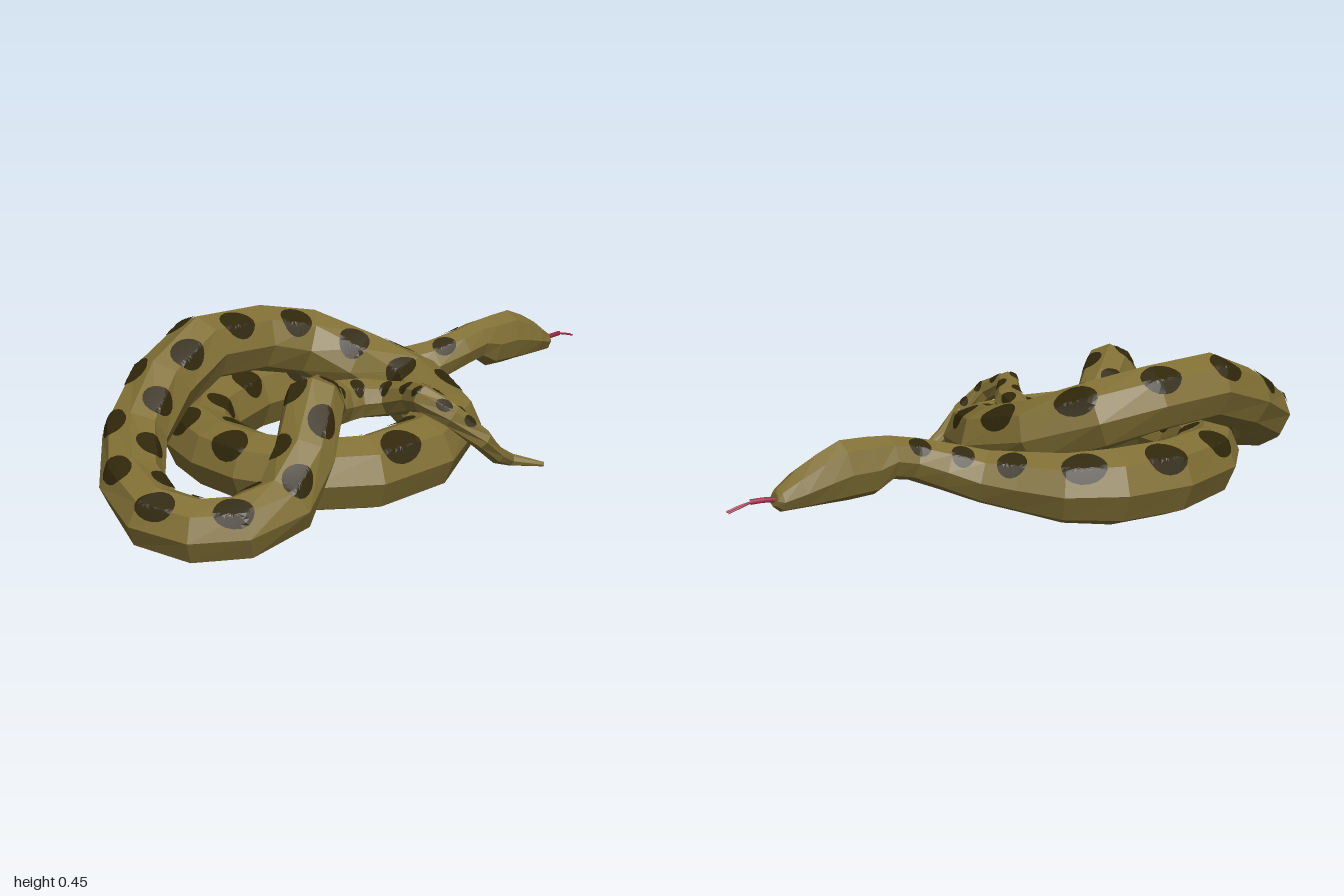
import * as THREE from 'three';

const SIDES = 8;
const material = (name, color) => {
  const m = new THREE.MeshStandardMaterial({ color });
  m.name = name;
  return m;
};

// Cross-sections from snout to tail tip: x, y, z, half width, half height
const HEAD = [
  [0.865, 0.172, -0.095, 0.024, 0.02],
  [0.85, 0.169, -0.095, 0.037, 0.034],
  [0.79, 0.187, -0.095, 0.053, 0.054],
  [0.72, 0.206, -0.095, 0.06, 0.073],
  [0.66, 0.22, -0.095, 0.063, 0.086],
  [0.58, 0.221, -0.095, 0.063, 0.083],
  [0.52, 0.236, -0.097, 0.058, 0.062],
];
const COILS = [
  [0.45, 0.222, -0.1, 0.06],
  [0.36, 0.193, -0.128, 0.068],
  [0.27, 0.163, -0.182, 0.077],
  [0.19, 0.152, -0.258, 0.088],
  [0.11, 0.143, -0.345, 0.1],
  [-0.02, 0.138, -0.392, 0.11],
  [-0.2, 0.136, -0.392, 0.11],
  [-0.4, 0.132, -0.315, 0.105],
  [-0.51, 0.128, -0.2, 0.103],
  [-0.545, 0.127, -0.06, 0.1],
  [-0.54, 0.127, 0.08, 0.1],
  [-0.475, 0.128, 0.23, 0.102],
  [-0.345, 0.13, 0.325, 0.105],
  [-0.15, 0.135, 0.33, 0.105],
  [0.035, 0.152, 0.24, 0.105],
  [0.11, 0.195, 0.03, 0.105],
  [0.06, 0.245, -0.14, 0.104],
  [-0.055, 0.31, -0.265, 0.103],
  [-0.21, 0.345, -0.305, 0.1],
  [-0.42, 0.357, -0.3, 0.1],
  [-0.6, 0.29, -0.255, 0.095],
  [-0.76, 0.205, -0.165, 0.09],
  [-0.875, 0.14, -0.02, 0.087],
  [-0.915, 0.102, 0.13, 0.087],
  [-0.87, 0.088, 0.25, 0.087],
];
const TAIL = [
  [-0.785, 0.097, 0.325, 0.087],
  [-0.66, 0.13, 0.345, 0.086],
  [-0.55, 0.215, 0.295, 0.084],
  [-0.44, 0.314, 0.21, 0.082],
  [-0.35, 0.28, 0.12, 0.075],
  [-0.27, 0.232, 0.055, 0.071],
  [-0.19, 0.22, 0.032, 0.066],
  [-0.115, 0.22, 0.05, 0.06],
  [-0.065, 0.225, 0.12, 0.052],
  [-0.075, 0.255, 0.23, 0.045],
  [-0.13, 0.285, 0.32, 0.038],
  [-0.105, 0.25, 0.405, 0.034],
  [-0.04, 0.18, 0.455, 0.03],
  [0.03, 0.115, 0.447, 0.025],
  [0.1, 0.08, 0.437, 0.018],
  [0.18, 0.06, 0.492, 0.007],
];

// Turn the cross-sections into rings of points around the spine
function makeRings(sections) {
  const centres = sections.map(([x, y, z]) => new THREE.Vector3(x, y, z));
  const worldUp = new THREE.Vector3(0, 1, 0);
  return sections.map(([, , , w, h = w], i) => {
    const c = centres[i];
    const dir = (a, b) => centres[b].clone().sub(centres[a]).normalize();
    const t = new THREE.Vector3();
    if (i > 0) t.add(dir(i - 1, i));
    if (i < centres.length - 1) t.add(dir(i, i + 1));
    t.normalize();
    const side = t.clone().cross(worldUp).normalize();
    const up = side.clone().cross(t);
    const points = [];
    for (let k = 0; k < SIDES; k++) {
      const a = (k / SIDES) * Math.PI * 2;
      points.push(c.clone().addScaledVector(side, Math.cos(a) * w).addScaledVector(up, Math.sin(a) * h));
    }
    return { c, w, points };
  });
}

function geometryFrom(triangles) {
  const g = new THREE.BufferGeometry().setFromPoints(triangles);
  g.computeVertexNormals();
  return g;
}

// Faceted skin through a run of rings, optionally closed at either end
function skin(rings, capStart, capEnd) {
  const out = [];
  const last = rings[rings.length - 1];
  for (let k = 0; k < SIDES; k++) {
    const n = (k + 1) % SIDES;
    for (let i = 0; i < rings.length - 1; i++) {
      const p = rings[i].points, q = rings[i + 1].points;
      out.push(p[k], q[k], q[n], p[k], q[n], p[n]);
    }
    if (capStart) out.push(rings[0].c, rings[0].points[k], rings[0].points[n]);
    if (capEnd) out.push(last.c, last.points[n], last.points[k]);
  }
  return geometryFrom(out);
}

// Round markings that follow the facets, alternating along both sides of the back
function spots(rings, from) {
  const lengths = [0];
  for (let i = 1; i < rings.length; i++) lengths.push(lengths[i - 1] + rings[i].c.distanceTo(rings[i - 1].c));
  const locate = (s) => {
    let i = 0;
    while (i < rings.length - 2 && lengths[i + 1] < s) i++;
    return [i, THREE.MathUtils.clamp((s - lengths[i]) / (lengths[i + 1] - lengths[i]), 0, 1)];
  };
  const radiusAt = (s) => {
    const [i, f] = locate(s);
    return THREE.MathUtils.lerp(rings[i].w, rings[i + 1].w, f);
  };
  const surface = (s, angle) => {
    const [i, f] = locate(s);
    const a = (angle / (Math.PI * 2)) * SIDES;
    const k = Math.floor(a), g = a - k;
    const onRing = (r) => r.points[k % SIDES].clone().lerp(r.points[(k + 1) % SIDES], g);
    const p = onRing(rings[i]).lerp(onRing(rings[i + 1]), f);
    const c = rings[i].c.clone().lerp(rings[i + 1].c, f);
    return p.addScaledVector(p.clone().sub(c).normalize(), 0.004);
  };
  const out = [];
  const around = 18, steps = 5;
  let s = lengths[from];
  for (let n = 0; s < lengths[rings.length - 4]; n++) {
    const r = radiusAt(s), size = r * 0.54;
    const middle = Math.PI / 2 + (n % 2 ? 0.68 : -0.68);
    const at = (j, m) => {
      const d = (size * j) / steps, a = (m / around) * Math.PI * 2;
      return surface(s + Math.cos(a) * d, middle + (Math.sin(a) * d) / r);
    };
    for (let j = 0; j < steps; j++) {
      for (let m = 0; m < around; m++) {
        const a = at(j, m), b = at(j + 1, m), c = at(j + 1, m + 1), d = at(j, m + 1);
        out.push(a, b, c);
        if (j > 0) out.push(a, c, d);
      }
    }
    s += r * 1.06;
  }
  return geometryFrom(out);
}

export function createModel() {
  const group = new THREE.Group();
  group.name = 'snake';
  const olive = material('olive scales', 0x806f34);
  const dark = material('dark markings', 0x30270a);
  const red = material('tongue red', 0xa82845);
  const add = (name, geometry, mat) => {
    const mesh = new THREE.Mesh(geometry, mat);
    mesh.name = name;
    group.add(mesh);
  };

  const rings = makeRings([...HEAD, ...COILS, ...TAIL]);
  const neck = HEAD.length, tail = HEAD.length + COILS.length;
  add('head', skin(rings.slice(0, neck + 1), true, false), olive);
  add('coiledBody', skin(rings.slice(neck, tail + 1), false, false), olive);
  add('tail', skin(rings.slice(tail), false, true), olive);
  add('backSpots', spots(rings, neck), dark);

  // Forked tongue
  const tube = (points, r) => new THREE.TubeGeometry(
    new THREE.CatmullRomCurve3(points.map((p) => new THREE.Vector3(...p))), 8, r, 5);
  add('tongue', tube([[0.84, 0.167, -0.095], [0.89, 0.174, -0.095], [0.935, 0.175, -0.095]], 0.008), red);
  for (const side of [-1, 1]) {
    add(side < 0 ? 'tongueForkLeft' : 'tongueForkRight',
      tube([[0.93, 0.175, -0.095], [0.96, 0.168, -0.095 + side * 0.005], [0.998, 0.157, -0.095 + side * 0.006]], 0.003), red);
  }
  return group;
}
